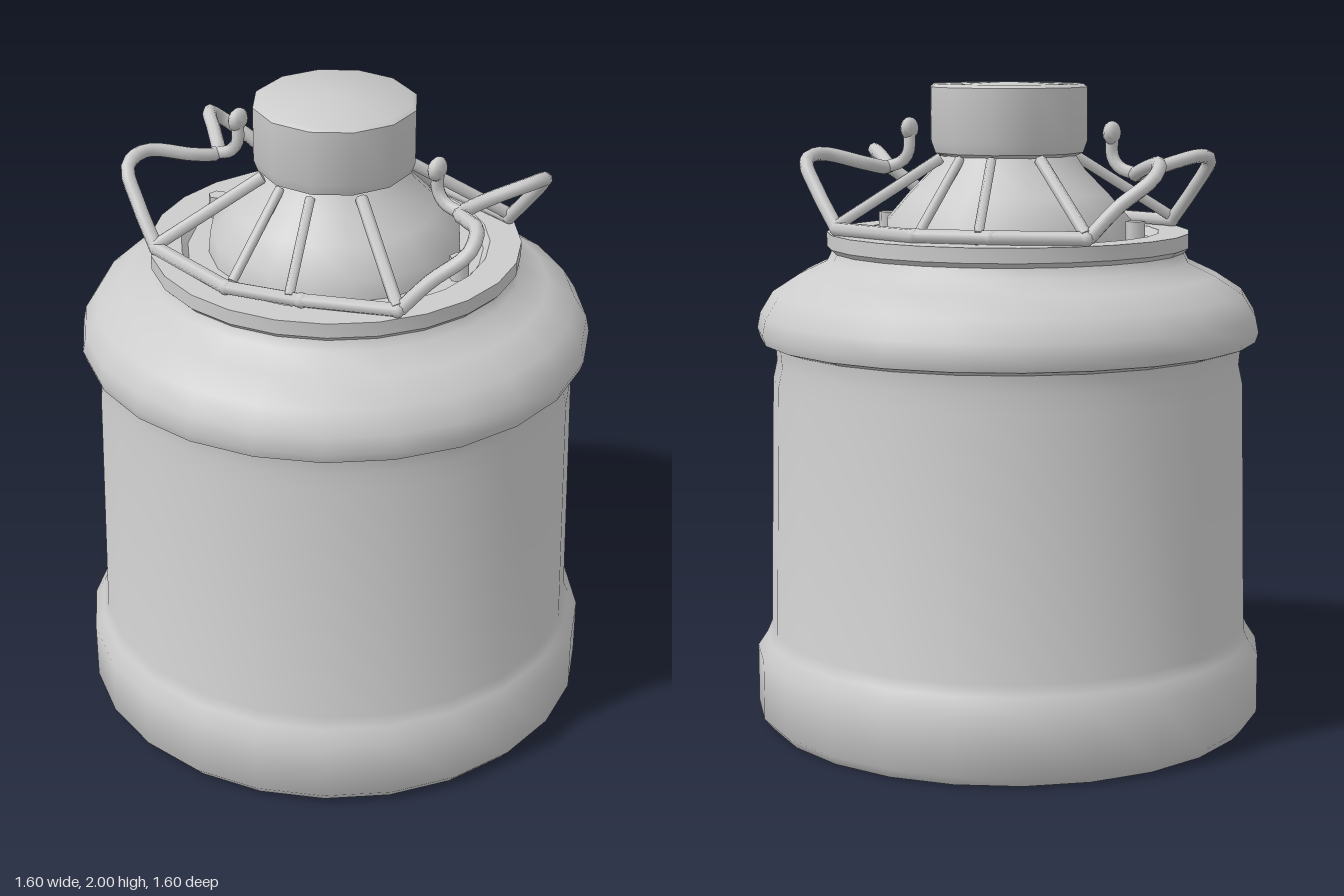
import * as THREE from 'three';
import { toCreasedNormals } from 'three/addons/utils/BufferGeometryUtils.js';

const V = (p) => new THREE.Vector3(...p);

export function createModel() {
  const model = new THREE.Group();
  const material = new THREE.MeshStandardMaterial({ color: 0xcccccc });

  function add(name, geometry, parent = model) {
    const mesh = new THREE.Mesh(geometry, material);
    mesh.name = name;
    parent.add(mesh);
    return mesh;
  }
  function lathe(name, profile, sides, crease = 0.75) {
    const points = profile.map(([r, y]) => new THREE.Vector2(r, y));
    return add(name, toCreasedNormals(new THREE.LatheGeometry(points, sides), crease));
  }
  function rod(name, a, b, radius, parent) {
    const start = V(a), dir = V(b).sub(start);
    const mesh = add(name, new THREE.CylinderGeometry(radius, radius, dir.length(), 6), parent);
    mesh.position.copy(start).addScaledVector(dir, 0.5);
    mesh.quaternion.setFromUnitVectors(new THREE.Vector3(0, 1, 0), dir.normalize());
  }

  // Body: base band, straight wall, bulging shoulder and recessed rim
  lathe('body', [
    [0, 0], [0.77, 0], [0.8, 0.035], [0.8, 0.22], [0.77, 0.265], [0.755, 0.3],
    [0.738, 1.08], [0.725, 1.14], [0.73, 1.195], [0.775, 1.21], [0.785, 1.24], [0.775, 1.29],
    [0.735, 1.355], [0.65, 1.41], [0.565, 1.45], [0.55, 1.48],
    [0.565, 1.495], [0.565, 1.54], [0.47, 1.54], [0.45, 1.515], [0.36, 1.515],
  ], 24);

  // Domed neck under the cap
  lathe('neck', [[0.385, 1.51], [0.38, 1.58], [0.31, 1.66], [0.24, 1.73], [0.2, 1.79]], 20);

  // Cap
  lathe('cap', [
    [0, 1.77], [0.2, 1.77], [0.235, 1.785], [0.248, 1.82], [0.248, 1.985], [0.235, 1.995], [0, 2],
  ], 12);

  // Each half of the guard frame; the other is the same turned by 180 degrees
  for (let i = 0; i < 2; i++) {
    const half = new THREE.Group();
    half.name = i ? 'guardFrameRight' : 'guardFrameLeft';
    half.rotation.y = i * Math.PI;
    model.add(half);

    // Bent carrying handle
    const handle = new THREE.CatmullRomCurve3([
      [0.28, 1.56, -0.47], [0.38, 1.67, -0.455], [0.455, 1.755, -0.43], [0.48, 1.775, -0.34],
      [0.42, 1.74, -0.2], [0.41, 1.725, -0.12], [0.49, 1.75, -0.06],
      [0.6, 1.77, 0.01], [0.625, 1.73, 0.07], [0.56, 1.65, 0.15], [0.5, 1.56, 0.21],
    ].map(V));
    add('handle', new THREE.TubeGeometry(handle, 40, 0.022, 8), half);

    // Hook with a flattened end on the handle
    const hook = new THREE.CatmullRomCurve3([
      [0.42, 1.725, -0.12], [0.36, 1.745, -0.105], [0.335, 1.78, -0.1], [0.338, 1.85, -0.095],
    ].map(V));
    add('hook', new THREE.TubeGeometry(hook, 10, 0.02, 7), half);
    const tip = add('hookTip', new THREE.SphereGeometry(1, 10, 8), half);
    tip.scale.set(0.024, 0.036, 0.042);
    tip.position.set(0.338, 1.85, -0.092);
    tip.rotation.y = 0.25;

    // Straight ring segments lying on the rim
    const ring = [[0.28, 1.56, -0.47], [-0.06, 1.56, -0.485], [-0.27, 1.56, -0.38], [-0.5, 1.56, -0.22]];
    for (let k = 0; k < 3; k++) rod('ringSegment', ring[k], ring[k + 1], 0.022, half);
    for (const p of ring) add('ringJoint', new THREE.SphereGeometry(0.023, 8, 6), half).position.set(...p);

    // Spokes from the neck to the ring
    const spokes = [
      [[0.1, 1.77, -0.2], [0.28, 1.57, -0.47], 0.019],
      [[0, 1.77, -0.22], [-0.06, 1.57, -0.46], 0.015],
      [[-0.11, 1.77, -0.2], [-0.24, 1.57, -0.4], 0.015],
      [[-0.21, 1.77, -0.09], [-0.5, 1.57, -0.22], 0.019],
    ];
    for (const [a, b, r] of spokes) rod('spoke', a, b, r, half);

    // Small peg standing on the rim
    rod('rimPeg', [0.41, 1.5, -0.12], [0.41, 1.585, -0.12], 0.03, half);
  }

  return model;
}
